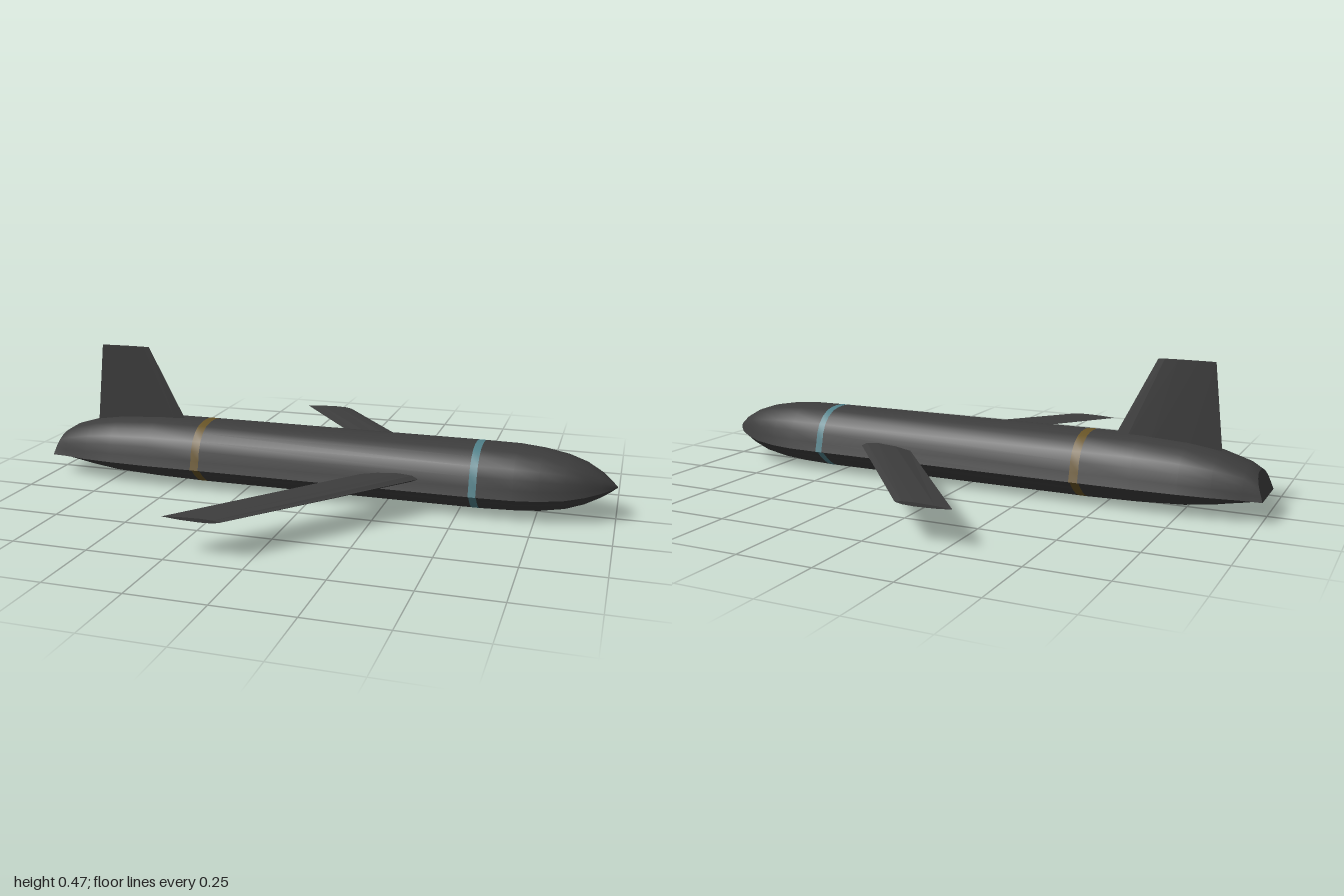
import * as THREE from 'three';
import { mergeVertices } from 'three/addons/utils/BufferGeometryUtils.js';

// Skins a list of rings (equal counts of [x, y, z]); optional flat end caps
function loft(rings, { closed = false, flat = false, capStart = false, capEnd = false } = {}) {
  const m = rings[0].length, pos = rings.flat(2), idx = [];
  const span = closed ? m : m - 1;
  for (let i = 0; i < rings.length - 1; i++) {
    for (let j = 0; j < span; j++) {
      const k = (j + 1) % m;
      const a = i * m + j, b = i * m + k, c = a + m, d = b + m;
      idx.push(a, c, b, c, d, b);
    }
  }
  const last = (rings.length - 1) * m;
  for (let k = 1; k < m - 1; k++) {
    if (capStart) idx.push(0, k, k + 1);
    if (capEnd) idx.push(last, last + k + 1, last + k);
  }
  let g = new THREE.BufferGeometry();
  g.setAttribute('position', new THREE.Float32BufferAttribute(pos, 3));
  g.setIndex(idx);
  g = flat ? g.toNonIndexed() : mergeVertices(g, 1e-5);
  g.computeVertexNormals();
  return g;
}

// Fuselage stations: x, chine half-width, chine y, top y, bottom y
const STATIONS = [
  [-1.0, 0.09, 0.066, 0.145, 0.056],
  [-0.94, 0.106, 0.07, 0.165, 0.044],
  [-0.85, 0.13, 0.073, 0.192, 0.026],
  [-0.75, 0.144, 0.075, 0.209, 0.012],
  [-0.6, 0.149, 0.075, 0.219, 0.004],
  [-0.43, 0.148, 0.075, 0.22, 0],
  [-0.4, 0.148, 0.075, 0.22, 0],
  [0.54, 0.147, 0.075, 0.22, 0],
  [0.565, 0.147, 0.075, 0.22, 0],
  [0.68, 0.143, 0.075, 0.219, 0.004],
  [0.76, 0.134, 0.077, 0.212, 0.01],
  [0.84, 0.116, 0.082, 0.198, 0.024],
  [0.9, 0.092, 0.09, 0.178, 0.045],
  [0.95, 0.058, 0.098, 0.15, 0.071],
  [0.98, 0.027, 0.103, 0.126, 0.091],
  [1.0, 0.001, 0.107, 0.108, 0.106],
];

// Half profiles from the chine to the centreline: width and height fractions
const UPPER = [[1, 0], [0.94, 0.22], [0.89, 0.45], [0.79, 0.66], [0.63, 0.83], [0.42, 0.945], [0.2, 0.99], [0, 1]];
const LOWER = [[1, 0], [0.89, 0.09], [0.76, 0.35], [0.62, 0.58], [0.46, 0.79], [0.28, 0.93], [0.12, 0.99], [0, 1]];

function sectionRing([x, w, yc, yt, yb], upper) {
  const side = upper ? 1 : -1;
  const half = upper ? UPPER : LOWER;
  const full = [...half, ...half.slice(0, -1).reverse().map(([a, h]) => [-a, h])];
  return full.map(([a, h]) => [
    x === -1 ? x + h * (upper ? 0.027 : 0.012) : x, // raked tail end
    yc + h * ((upper ? yt : yb) - yc),
    side * a * w,
  ]);
}

// Thin airfoil outline, running along one face and back along the other
const FOIL = [[0, 0], [0.3, 0.7], [0.65, 1], [0.88, 0.75], [1, 0], [0.88, -0.75], [0.65, -1], [0.3, -0.7]];

export function createModel() {
  const model = new THREE.Group();
  model.name = 'wingedGlider';
  const material = (name, color) => {
    const m = new THREE.MeshStandardMaterial({ color });
    m.name = name;
    return m;
  };
  const grey = material('charcoalGrey', 0x3d3d3d);
  const gold = material('darkGold', 0x685426);
  const teal = material('mutedTeal', 0x508089);
  const add = (name, geometry, mat) => {
    const mesh = new THREE.Mesh(geometry, mat);
    mesh.name = name;
    model.add(mesh);
  };

  // Fuselage pieces and painted bands, each with creased chines
  const pieces = [
    ['rearBody', 0, 5, grey], ['rearBand', 5, 6, gold], ['middleBody', 6, 7, grey],
    ['frontBand', 7, 8, teal], ['noseBody', 8, STATIONS.length - 1, grey],
  ];
  for (const [name, from, to, mat] of pieces) {
    const part = STATIONS.slice(from, to + 1);
    add(name + 'Upper', loft(part.map((s) => sectionRing(s, true))), mat);
    add(name + 'Lower', loft(part.map((s) => sectionRing(s, false))), mat);
  }

  // Slanted tail end plate
  const tailRing = [...sectionRing(STATIONS[0], true), ...sectionRing(STATIONS[0], false).slice(1, -1)];
  add('tailPlate', loft([tailRing], { flat: true, capStart: true }), grey);

  // Swept wings: trailing x, leading x, z, half thickness
  const wingRing = ([tx, lx, z, t], side) =>
    FOIL.map(([c, h]) => [tx + c * (lx - tx), 0.116 + h * t, side * z]);
  const root = [0.21, 0.405, 0.1, 0.014], tip = [-0.27, -0.085, 0.705, 0.006];
  const caps = { closed: true, flat: true, capStart: true, capEnd: true };
  add('leftSideWing', loft([wingRing(root, 1), wingRing(tip, 1)], caps), grey);
  add('rightSideWing', loft([wingRing(tip, -1), wingRing(root, -1)], caps), grey);

  // Upright tail fin: trailing x, leading x, y, half thickness
  const finRing = ([tx, lx, y, t]) =>
    FOIL.map(([c, h]) => [lx + (1 - c) * (tx - lx), y, -h * t]);
  add('tailFin', loft([finRing([-0.855, -0.487, 0.175, 0.01]), finRing([-0.823, -0.64, 0.47, 0.005])], caps), grey);

  return model;
}
